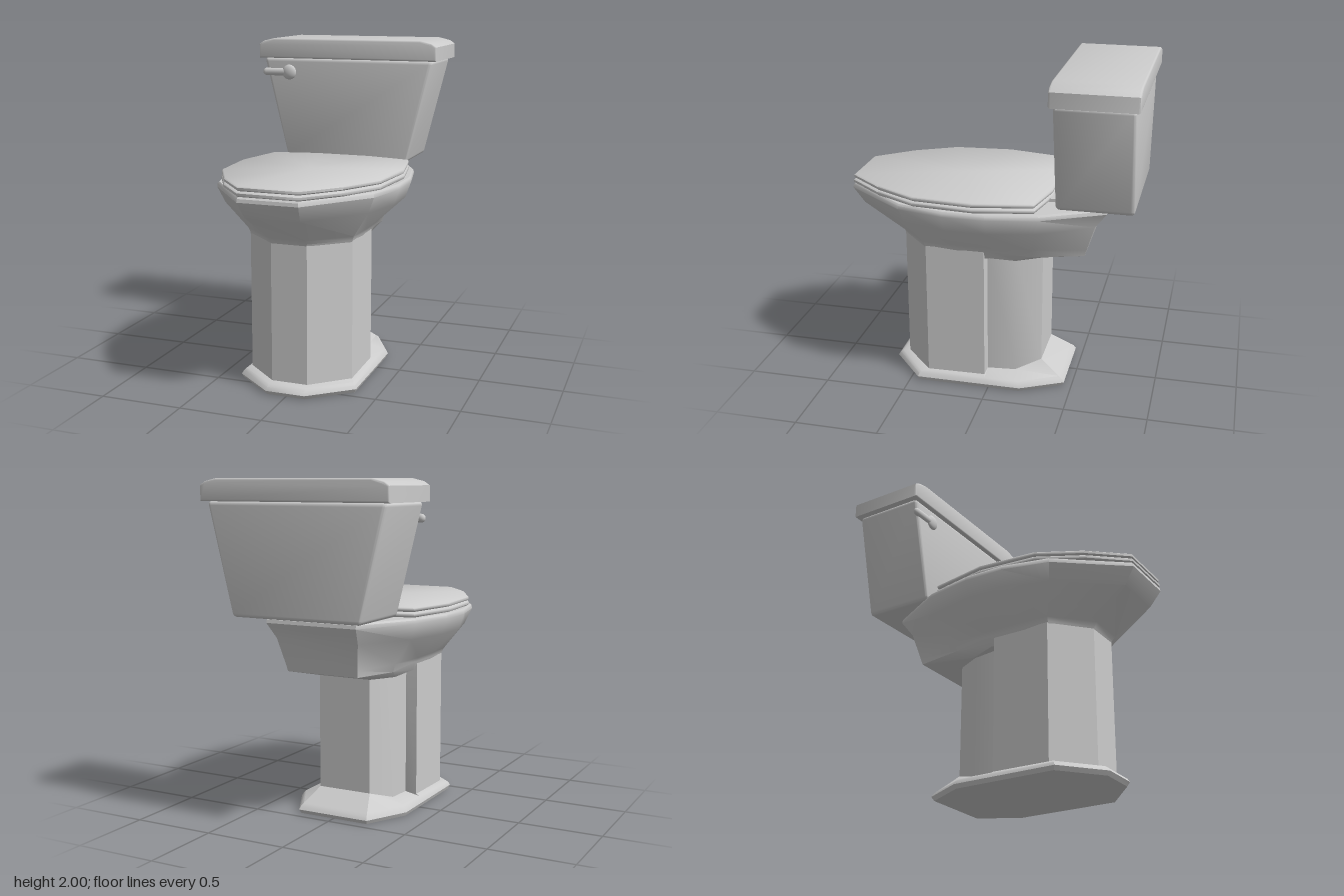
import * as THREE from 'three';
import { toCreasedNormals } from 'three/addons/utils/BufferGeometryUtils.js';
import { RoundedBoxGeometry } from 'three/addons/geometries/RoundedBoxGeometry.js';

const material = new THREE.MeshStandardMaterial({ color: 0xcccccc });

function addMesh(group, name, geometry) {
  const mesh = new THREE.Mesh(geometry, material);
  mesh.name = name;
  group.add(mesh);
  return mesh;
}

// A ring is half an outline [x, z, optional own y], front to back, mirrored to -x.
function ring(y, half) {
  const side = half.map(([x, z, ownY]) => [x, ownY ?? y, z]);
  return [...side, ...side.map(([x, py, z]) => [-x, py, z]).reverse()];
}

// Moves every outline point towards a centre on the z axis.
const scaled = (half, s, cz = 0.15) => half.map(([x, z]) => [x * s, cz + (z - cz) * s]);

// Joins rings from bottom to top and closes both ends.
function loft(rings, crease = 0.6, dome = 0) {
  const n = rings[0].length;
  const index = [];
  for (let r = 0; r < rings.length - 1; r++) {
    for (let i = 0; i < n; i++) {
      const a = r * n + i, b = r * n + (i + 1) % n;
      index.push(a, b, a + n, b, b + n, a + n);
    }
  }
  const centre = (points) => [0, 1, 2].map((k) => points.reduce((sum, p) => sum + p[k], 0) / n);
  const top = centre(rings.at(-1));
  top[1] += dome;
  const points = [...rings.flat(), centre(rings[0]), top];
  const last = (rings.length - 1) * n, c = rings.length * n;
  for (let i = 0; i < n; i++) {
    const j = (i + 1) % n;
    index.push(c, j, i, c + 1, last + i, last + j);
  }
  const geometry = new THREE.BufferGeometry();
  geometry.setAttribute('position', new THREE.Float32BufferAttribute(points.flat(), 3));
  geometry.setIndex(index);
  return toCreasedNormals(geometry, crease);
}

// Flat slab with softened edges.
function slab(half, y0, y1, dome = 0) {
  const e = (y1 - y0) * 0.25;
  return loft([
    ring(y0, scaled(half, 0.985)), ring(y0 + e, half),
    ring(y1 - e, half), ring(y1, scaled(half, 0.985)),
  ], 0.9, dome);
}

export function createModel() {
  const model = new THREE.Group();
  model.name = 'toilet';

  // Pedestal: flared foot, wide front column and narrower rear column
  const foot = [[0.12, 0.655], [0.365, 0.45], [0.365, 0.03], [0.365, 0.02], [0.365, -0.2], [0.23, -0.455]];
  const column = [[0.11, 0.58], [0.32, 0.39], [0.32, 0.03], [0.25, 0.025], [0.25, -0.15], [0.17, -0.3]];
  const columnFoot = column.map(([x, z], i) => [x, z, [0.065, 0.065, 0.07, 0.08, 0.09, 0.14][i]]);
  addMesh(model, 'pedestal', loft([
    ring(0, scaled(foot, 0.97, 0.1)),
    ring(0.025, foot),
    ring(0.045, scaled(foot, 0.975, 0.1)),
    ring(0.058, scaled(foot, 0.94, 0.1)),
    ring(0.065, columnFoot),
    ring(0.9, column),
  ]));

  // Bowl: faceted basin with a shelf that carries the tank
  const rim = [[0.18, 0.885], [0.48, 0.5], [0.545, 0.22], [0.545, -0.03], [0.48, -0.33], [0.29, -0.69]];
  addMesh(model, 'bowl', loft([
    ring(0.83, [[0.1, 0.55], [0.3, 0.38], [0.3, 0.15], [0.3, 0, 0.85], [0.26, -0.15], [0.17, -0.3]]),
    ring(0.905, [[0.11, 0.585], [0.32, 0.395], [0.325, 0.2], [0.325, 0], [0.3, -0.25, 0.88], [0.23, -0.56, 0.89]]),
    ring(0.93, [[0.115, 0.605], [0.33, 0.4], [0.34, 0.2], [0.34, 0], [0.315, -0.26], [0.235, -0.572]]),
    ring(1.09, [[0.165, 0.82], [0.44, 0.475], [0.51, 0.22], [0.51, -0.03], [0.445, -0.32], [0.265, -0.62]]),
    ring(1.185, rim),
    ring(1.205, scaled(rim, 0.995)),
    ring(1.215, scaled(rim, 0.98)),
  ]));

  // Seat and its slightly domed cover
  const seat = [[0.18, 0.88], [0.36, 0.665], [0.495, 0.41], [0.525, 0.05], [0.455, -0.3], [0.18, -0.357]];
  addMesh(model, 'seat', slab(seat, 1.214, 1.242));
  addMesh(model, 'seatCover', slab(scaled(seat, 0.995), 1.246, 1.273, 0.007));

  // Seat hinges
  for (const side of [-1, 1]) {
    const hinge = addMesh(model, 'hinge', new THREE.BoxGeometry(0.09, 0.025, 0.08));
    hinge.position.set(side * 0.19, 1.222, -0.365);
  }

  // Tank: rounded box narrowing towards the bottom
  const tank = new RoundedBoxGeometry(1.13, 0.645, 0.45, 3, 0.025);
  const p = tank.attributes.position;
  for (let i = 0; i < p.count; i++) {
    const t = p.getY(i) / 0.645 + 0.5;
    p.setX(i, p.getX(i) * THREE.MathUtils.lerp(0.715, 1, t));
  }
  tank.deleteAttribute('normal');
  tank.deleteAttribute('uv');
  addMesh(model, 'tank', toCreasedNormals(tank, 0.7)).position.set(0, 1.553, -0.635);

  // Tank lid: flat top falling away at both ends
  const profile = [[0.58, 1.885], [0.58, 1.955], [0.555, 1.972], [0.485, 1.988]];
  const outline = [...profile, ...profile.map(([x, y]) => [-x, y]).reverse()];
  const lid = new THREE.ExtrudeGeometry(
    new THREE.Shape(outline.map(([x, y]) => new THREE.Vector2(x, y))),
    { depth: 0.471, bevelSize: 0.012, bevelThickness: 0.012, bevelSegments: 3 },
  );
  addMesh(model, 'tankLid', toCreasedNormals(lid, 0.7)).position.z = -0.873;

  // Flush lever: flattened pivot knob and round arm
  const lever = new THREE.Group();
  lever.name = 'flushLever';
  lever.position.set(-0.39, 1.783, -0.41);
  const knob = addMesh(lever, 'knob', new THREE.SphereGeometry(0.048, 24, 16));
  knob.scale.z = 0.5;
  const arm = addMesh(lever, 'arm', new THREE.CapsuleGeometry(0.024, 0.14, 6, 16));
  arm.rotation.z = Math.PI / 2;
  arm.position.set(-0.088, 0, 0);
  arm.scale.z = 0.8;
  model.add(lever);

  return model;
}
